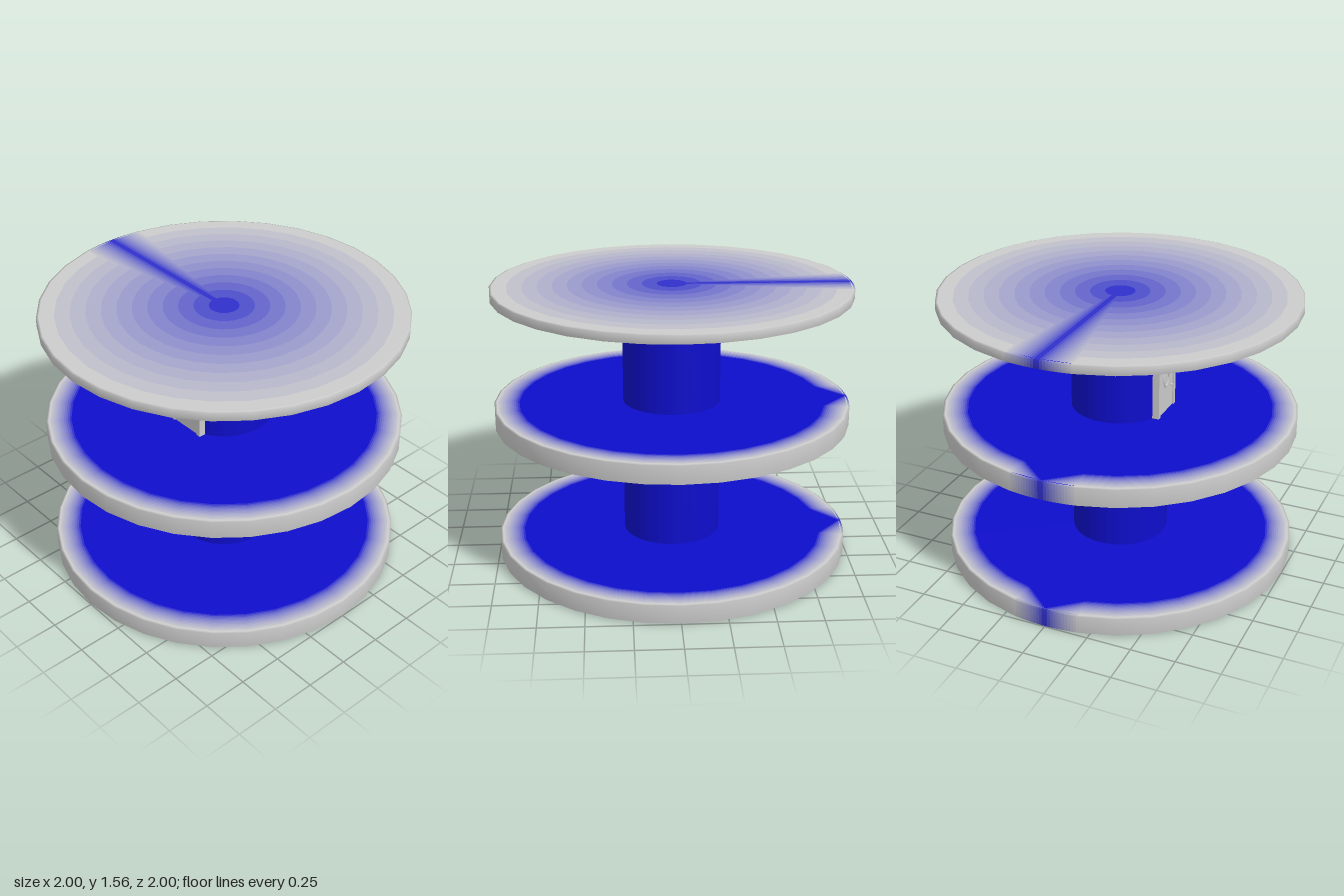
import * as THREE from 'three';
import { mergeGeometries } from 'three/addons/utils/BufferGeometryUtils.js';

const SIDES = 32, STEP = (Math.PI * 2) / SIDES;
const BANDS = 12, EDGE = 0.988, SHAFT_R = 0.275;
const BLUE = new THREE.Color(0x0e0ecc), GREY = new THREE.Color(0xcccccc);

const paint = (color) => new THREE.MeshStandardMaterial({ color });
// shade k of the fade from blue to grey
const shades = Array.from({ length: BANDS }, (_, k) =>
  paint(BLUE.clone().lerp(GREY, (k + 0.5) / BANDS)));
const blue = paint(BLUE), grey = paint(0xcccccc);

function add(parent, name, geometry, material, x = 0, y = 0, z = 0) {
  const mesh = new THREE.Mesh(geometry, material);
  mesh.name = name;
  mesh.position.set(x, y, z);
  parent.add(mesh);
  return mesh;
}

const polygon = (points) => new THREE.ShapeGeometry(new THREE.Shape(points));

// Flat disc face: blue inside radius r0, fading to grey at the edge,
// with a blue wedge at the back
function makeFace(r0, up) {
  const face = new THREE.Group();
  face.name = up ? 'upperFace' : 'lowerFace';
  const start = Math.PI / 2 + STEP, sweep = STEP * (SIDES - 2);
  const at = (r, side) => new THREE.Vector2(side * Math.sin(STEP) * r, Math.cos(STEP) * r);
  const back = new THREE.Vector2(0, EDGE);

  if (r0 > 0) {
    const parts = [new THREE.CircleGeometry(r0, SIDES, Math.PI / 2)];
    for (const s of [-1, 1]) parts.push(polygon([at(r0, s), new THREE.Vector2(0, r0), back]));
    add(face, 'blueFloor', mergeGeometries(parts), blue);
  }
  for (let k = 0; k < BANDS; k++) {
    const t0 = k / BANDS, t1 = (k + 1) / BANDS;
    const radius = (t) => r0 + (EDGE - r0) * t;
    const parts = [new THREE.RingGeometry(radius(t0), radius(t1), SIDES - 2, 1, start, sweep)];
    for (const s of [-1, 1]) {
      const inner = at(r0, s), outer = at(EDGE, s);
      const pts = [
        inner.clone().lerp(outer, t0), back.clone().lerp(outer, t0),
        back.clone().lerp(outer, t1), inner.clone().lerp(outer, t1),
      ];
      if (k === BANDS - 1) pts.pop(); // last strip narrows to a point
      parts.push(polygon(pts));
    }
    add(face, 'fadeBand', mergeGeometries(parts), shades[k]);
  }
  face.rotation.x = -Math.PI / 2;
  const holder = new THREE.Group();
  holder.name = face.name;
  holder.add(face);
  if (!up) holder.rotation.z = Math.PI;
  return holder;
}

// Round deck with a soft rim, grey but for the blue seam at the back
function makeDeck(name, y0, y1, lowerR0, upperR0) {
  const deck = new THREE.Group();
  deck.name = name;
  const b = 0.004;
  const profile = [[EDGE, y0], [1, y0 + b], [1, y1 - b], [EDGE, y1]]
    .map(([r, y]) => new THREE.Vector2(r, y));
  add(deck, 'rim', new THREE.LatheGeometry(profile, SIDES - 2, Math.PI + STEP, STEP * (SIDES - 2)), grey);
  for (let k = 0; k < BANDS; k++) {
    const w = STEP / BANDS;
    add(deck, 'rimSeam', mergeGeometries([
      new THREE.LatheGeometry(profile, 1, Math.PI + k * w, w),
      new THREE.LatheGeometry(profile, 1, Math.PI - (k + 1) * w, w),
    ]), shades[k]);
  }
  const top = makeFace(upperR0, true), bottom = makeFace(lowerR0, false);
  top.position.y = y1;
  bottom.position.y = y0;
  deck.add(top, bottom);
  return deck;
}

// Small grey door with posts, lintel and an oval pane, on the -x side
function makeDoor() {
  const door = new THREE.Group();
  door.name = 'door';
  const box = (name, w, h, d, x, y, z) =>
    add(door, name, new THREE.BoxGeometry(w, h, d), grey, x, y, z);
  box('doorPanel', 0.04, 0.31, 0.2, -0.257, 0.155, 0);
  for (const s of [-1, 1]) box('doorPost', 0.045, 0.31, 0.025, -0.2625, 0.155, s * 0.108);
  box('lintel', 0.065, 0.022, 0.25, -0.2725, 0.315, 0);
  const pane = add(door, 'ovalPane', new THREE.TorusGeometry(0.035, 0.006, 6, 20), grey, -0.278, 0.2, 0);
  pane.rotation.y = Math.PI / 2;
  pane.scale.y = 1.4;
  add(door, 'doorKnob', new THREE.SphereGeometry(0.008, 10, 8), grey, -0.28, 0.13, 0.075);
  return door;
}

export function createModel() {
  const model = new THREE.Group();
  model.name = 'tieredTower';

  model.add(makeDeck('bottomDeck', 0, 0.11, 0, 0.86));
  model.add(makeDeck('middleDeck', 0.78, 0.89, 0.88, 0.86));
  model.add(makeDeck('topDeck', 1.507, 1.56, 0.9, 0));

  // shafts between the decks
  for (const [name, y0, y1] of [['lowerShaft', 0.11, 0.78], ['upperShaft', 0.89, 1.507]]) {
    const shaft = new THREE.CylinderGeometry(SHAFT_R, SHAFT_R, y1 - y0, SIDES, 1, true);
    add(model, name, shaft, blue, 0, (y0 + y1) / 2, 0);
  }

  const door = makeDoor();
  door.position.y = 0.89;
  model.add(door);
  return model;
}
